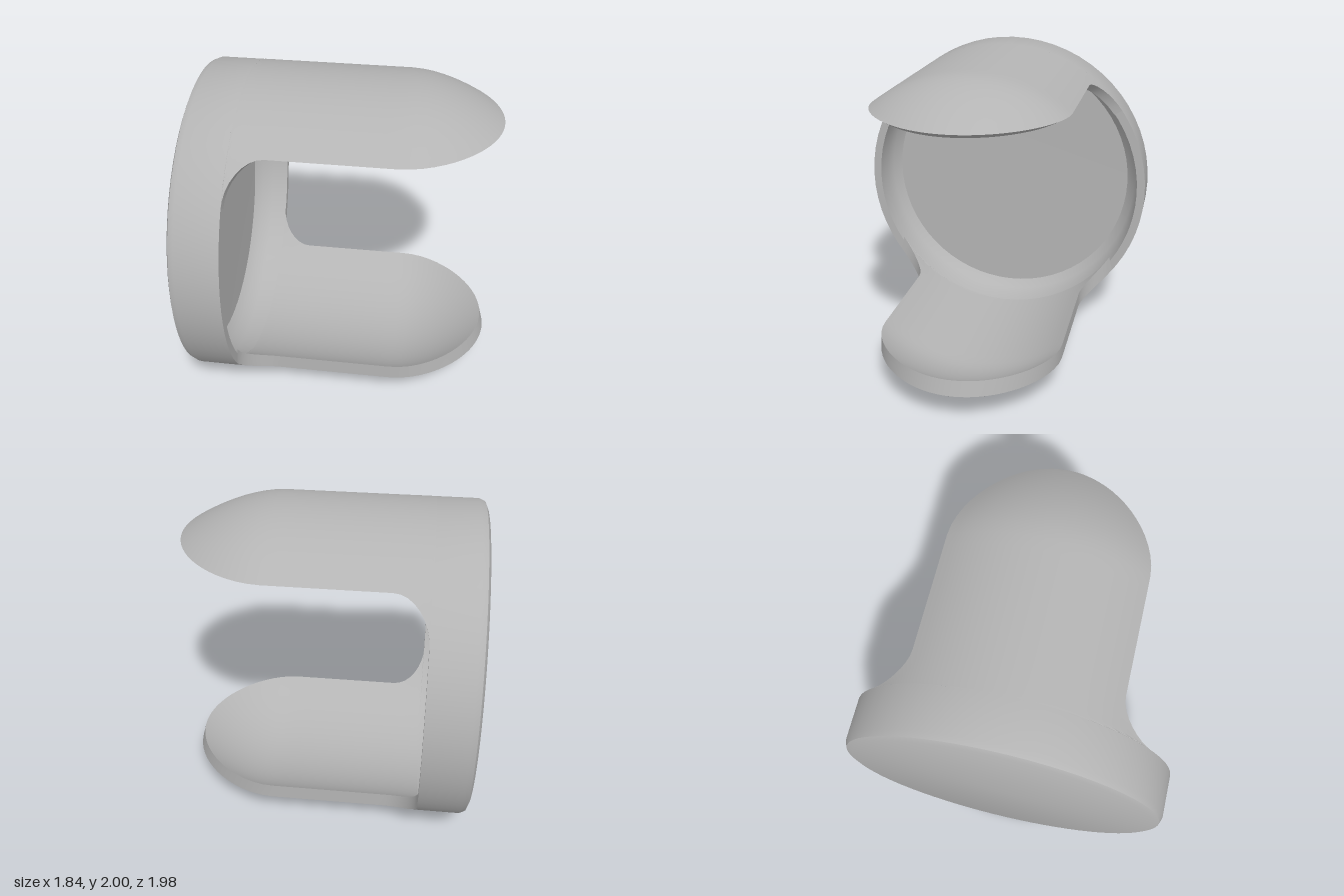
import * as THREE from 'three';
import { toCreasedNormals } from 'three/addons/utils/BufferGeometryUtils.js';

const SQUASH = 0.99;   // slight flattening in depth
const ROOT = -0.61;    // where the tongues leave the cup
const FILLET = 0.21;

// Shallow round cup, turned about the x axis
function cupGeometry() {
  const profile = [
    [0, -0.92], [0.95, -0.92], [0.985, -0.905], [1, -0.87], [1, ROOT],
    [0.945, ROOT], [0.935, -0.72], [0.91, -0.79], [0.86, -0.84], [0, -0.85],
  ].map(([r, x]) => new THREE.Vector2(r, x));
  return new THREE.LatheGeometry(profile, 64).rotateZ(-Math.PI / 2);
}

// Curved shell strip with filleted root and rounded, inward-curling tip
function tongueGeometry(outer, inner) {
  const N = 20, FIL = 8, LONG = 24;
  const stations = [];
  for (let i = 0; i < FIL; i++) {
    const a = (i / FIL) * Math.PI / 2;
    stations.push({ x: -0.4 - FILLET * Math.cos(a), drop: FILLET * (1 - Math.sin(a)) });
  }
  for (let i = 0; i <= LONG; i++) stations.push({ s: 1 - (1 - i / LONG) ** 2, drop: 0 });

  // radius and half angle of one skin at a station
  const section = (skin, st) => {
    const x = st.s === undefined ? st.x : -0.4 + (skin.tip + 0.4) * st.s;
    const k = Math.max(0, (x - 0.33) / (skin.tip - 0.33));
    const r = skin.r - (skin.r - skin.edge) * k ** 1.8;
    return { x, r, half: Math.acos(Math.min(1, (skin.edge - st.drop) / r)) };
  };

  const pos = [], index = [], M = 2 * (N + 1);
  stations.forEach((st, i) => {
    for (const [skin, dir] of [[outer, 1], [inner, -1]]) {
      const { x, r, half } = section(skin, st);
      for (let j = 0; j <= N; j++) {
        const a = dir * half * (2 * j / N - 1);
        pos.push(x, r * Math.cos(a), r * Math.sin(a));
      }
    }
    if (i === 0) return;
    for (let j = 0; j < M; j++) {
      const j2 = (j + 1) % M;
      const a = (i - 1) * M + j, b = (i - 1) * M + j2, c = i * M + j, d = i * M + j2;
      index.push(a, b, c, b, d, c);
    }
  });
  const g = new THREE.BufferGeometry();
  g.setAttribute('position', new THREE.Float32BufferAttribute(pos, 3));
  g.setIndex(index);
  return g;
}

export function createModel() {
  const group = new THREE.Group();
  group.name = 'roundBracket';
  const grey = new THREE.MeshStandardMaterial({ color: 0xb4b4b4 });
  grey.name = 'plain grey';

  const add = (name, geometry) => {
    geometry.scale(1, 1, SQUASH).translate(0, 1, 0);
    const mesh = new THREE.Mesh(toCreasedNormals(geometry, 0.7), grey);
    mesh.name = name;
    group.add(mesh);
  };

  add('endCup', cupGeometry());
  add('upperTongue', tongueGeometry(
    { r: 1, edge: 0.795, tip: 0.91 }, { r: 0.94, edge: 0.765, tip: 0.86 }));
  add('lowerTongue', tongueGeometry(
    { r: 1, edge: 0.8, tip: 0.915 }, { r: 0.925, edge: 0.705, tip: 0.89 }).rotateX(Math.PI));
  return group;
}
